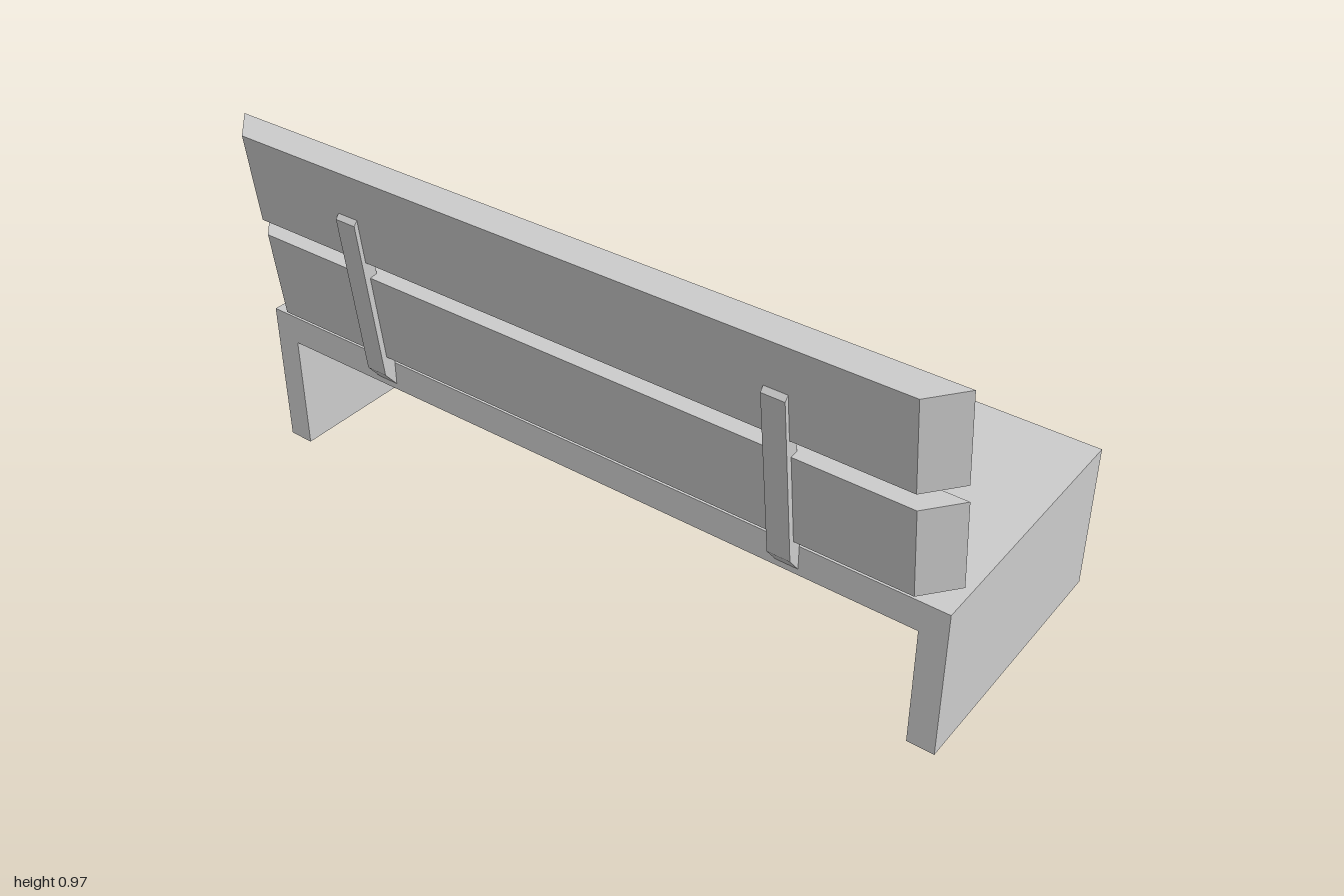
import * as THREE from 'three';

const material = new THREE.MeshStandardMaterial({ color: 0xcccccc, flatShading: true });

// Closed polygon extruded along z and centred on it
function extrude(points, depth) {
  const shape = new THREE.Shape(points.map(([x, y]) => new THREE.Vector2(x, y)));
  return new THREE.ExtrudeGeometry(shape, { depth, bevelEnabled: false }).translate(0, 0, -depth / 2);
}

// Board whose ends are mitred: the back face is shorter than the front
function mitredBoard(thickness, height, length, backLength) {
  const geometry = new THREE.BoxGeometry(thickness, height, length);
  const position = geometry.attributes.position;
  for (let i = 0; i < position.count; i++) {
    if (position.getX(i) < 0) position.setZ(i, Math.sign(position.getZ(i)) * backLength / 2);
  }
  geometry.computeVertexNormals();
  return geometry;
}

export function createModel() {
  const bench = new THREE.Group();
  bench.name = 'bench';

  const add = (name, geometry, x = 0, y = 0, z = 0) => {
    const mesh = new THREE.Mesh(geometry, material);
    mesh.name = name;
    mesh.position.set(x, y, z);
    bench.add(mesh);
    return mesh;
  };

  // Seat slab and both side panels in one folded piece
  const seat = extrude([
    [-1, 0], [-0.93, 0], [-0.93, 0.32], [0.93, 0.32],
    [0.93, 0], [1, 0], [1, 0.4], [-1, 0.4],
  ], 0.72).rotateY(Math.PI / 2);
  add('seat', seat, 0.045);

  // Two leaning backrest boards
  const board = mitredBoard(0.078, 0.242, 2, 1.85);
  const boards = [['lowerBackBoard', -0.3155, 0.554], ['upperBackBoard', -0.353, 0.841]];
  for (const [name, x, y] of boards) {
    add(name, board, x, y).rotation.z = 0.115;
  }

  // Bent straps joining the backrest to the rear of the seat
  const strap = extrude([
    [-0.313, 0.334], [-0.35, 0.38], [-0.402, 0.825], [-0.368, 0.865],
    [-0.315, 0.405], [-0.313, 0.397],
  ], 0.06);
  for (const side of [-1, 1]) {
    add(side < 0 ? 'rearStrap' : 'frontStrap', strap, 0, 0, side * 0.6);
  }

  return bench;
}
